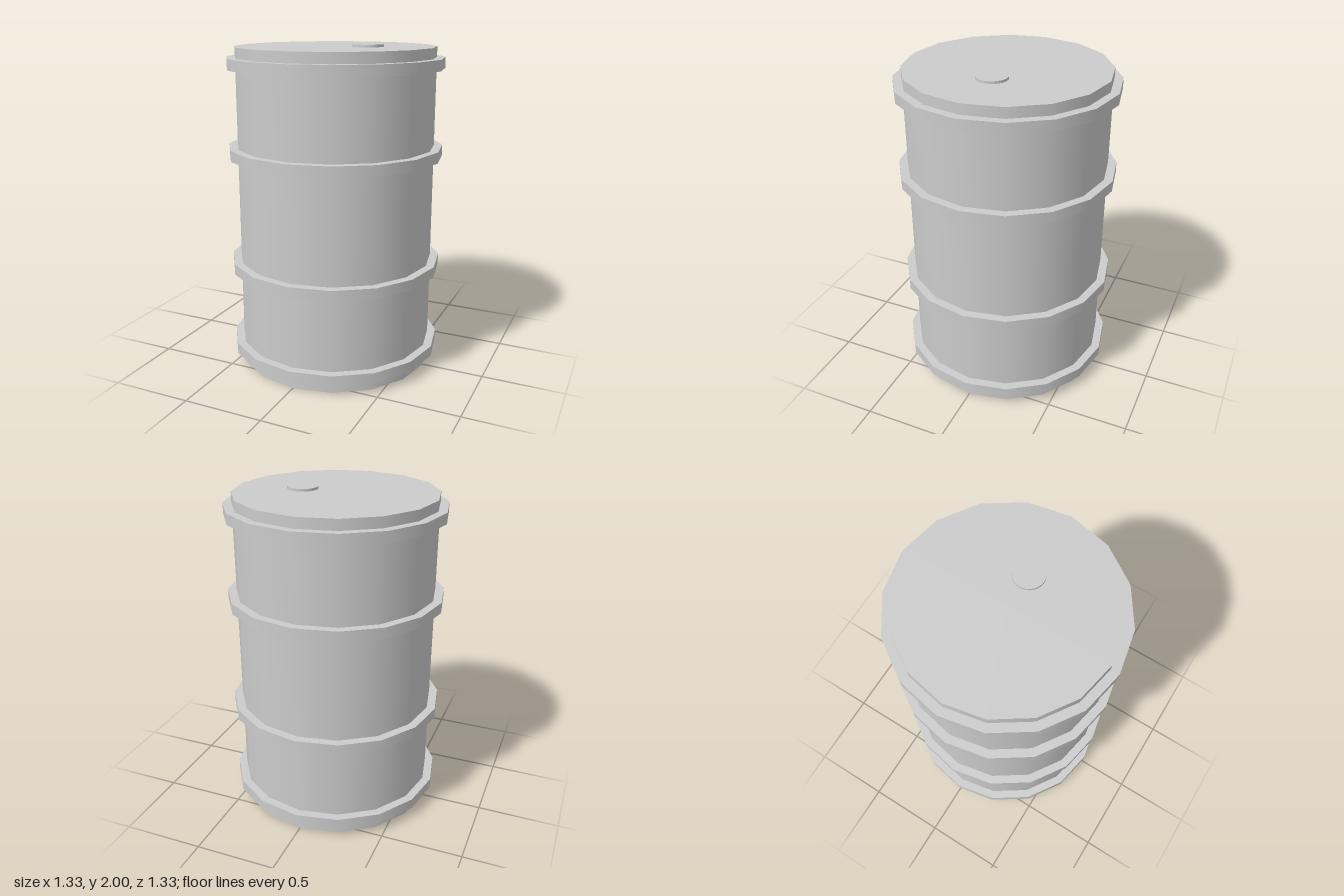
import * as THREE from 'three';

export function createModel() {
  const model = new THREE.Group();
  model.name = 'barrel';
  const material = new THREE.MeshStandardMaterial({ color: 0xcccccc });

  // Upright cylinder spanning two heights, smooth around and sharp at the rims
  function addCylinder(name, radius, bottom, top, sides, x = 0) {
    const geometry = new THREE.CylinderGeometry(radius, radius, top - bottom, sides);
    const mesh = new THREE.Mesh(geometry, material);
    mesh.name = name;
    mesh.position.set(x, (bottom + top) / 2, 0);
    model.add(mesh);
  }

  // Drum body
  addCylinder('body', 0.613, 0, 1.985, 16);

  // Reinforcing hoops, from bottom to top
  const hoopHeights = [0.103, 0.636, 1.352, 1.889];
  hoopHeights.forEach((y, i) => addCylinder(`hoop${i + 1}`, 0.665, y - 0.033, y + 0.033, 16));

  // Filler cap on the lid, sunk slightly into it
  addCylinder('fillerCap', 0.093, 1.965, 2, 32, 0.212);

  return model;
}
